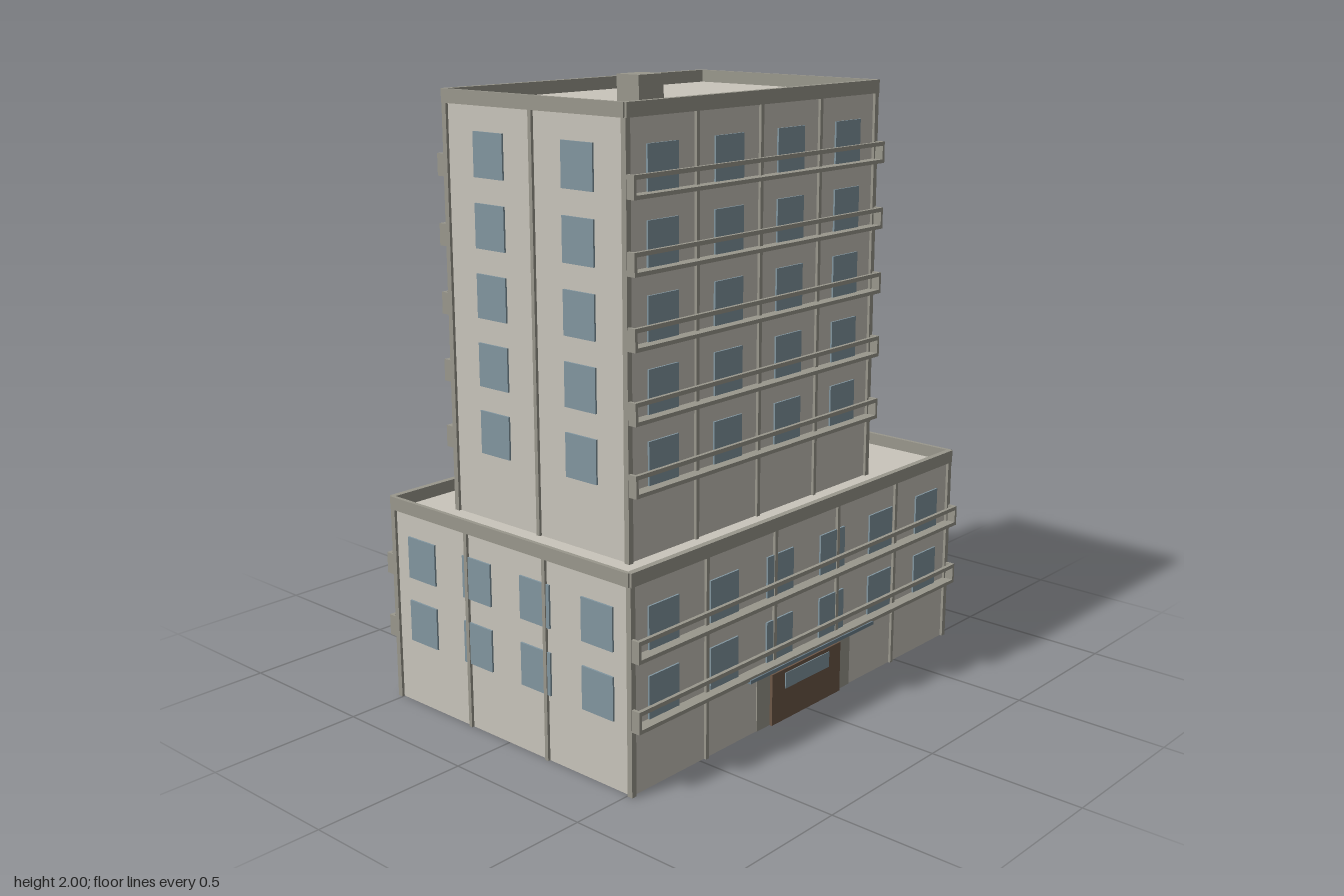
import * as THREE from 'three';

const mat = (color) => new THREE.MeshStandardMaterial({ color });
const WALL = mat(0xc9c5bb), TRIM = mat(0x9a988d), GLASS = mat(0x8296a0);
const DOOR = mat(0x6e5848), CANOPY = mat(0x6f8390);

// Box given by its extents on each axis
function box(parent, name, material, [x0, x1], [y0, y1], [z0, z1]) {
  const mesh = new THREE.Mesh(new THREE.BoxGeometry(x1 - x0, y1 - y0, z1 - z0), material);
  mesh.position.set((x0 + x1) / 2, (y0 + y1) / 2, (z0 + z1) / 2);
  mesh.name = name;
  parent.add(mesh);
  return mesh;
}

const around = (c, w) => [c - w / 2, c + w / 2];

// One block of the building, centred on its own x and z; hx, hz are half sizes of the walls
function buildBlock(name, o) {
  const g = new THREE.Group();
  g.name = name;
  const { hx, hz, y0, roof, top } = o;
  box(g, 'walls', WALL, [-hx, hx], [y0, roof], [-hz, hz]);

  // Parapet: deeper along front and back, thin on the sides
  for (const s of [-1, 1]) {
    box(g, 'parapetLong', TRIM, [-hx - 0.008, hx + 0.008], [roof - 0.002, top], around(s * (hz + 0.002), 0.02));
    box(g, 'parapetSide', TRIM, around(s * (hx + 0.007), 0.013), [roof - 0.002, top], [-hz - 0.004, hz + 0.004]);
  }

  // Corner columns
  for (const sx of [-1, 1]) for (const sz of [-1, 1])
    box(g, 'cornerColumn', TRIM, around(sx * hx, 0.018), [y0, roof], around(sz * hz, 0.018));

  for (const s of [-1, 1]) {
    // Pilasters on front and back, then on the sides
    for (const x of o.pilastersX)
      box(g, 'pilaster', TRIM, around(x, 0.013), [y0, roof], around(s * hz, 0.018));
    for (const z of o.pilastersZ)
      box(g, 'sidePilaster', TRIM, around(s * hx, 0.018), [y0, roof], around(z, 0.013));

    for (const y of o.floors) {
      // Windows
      for (const x of o.windowsX)
        box(g, 'window', GLASS, around(x, 0.127), around(y, 0.135), around(s * hz, 0.012));
      for (const z of o.windowsZ)
        box(g, 'sideWindow', GLASS, around(s * hx, 0.012), around(y, 0.135), around(z, 0.125));

      // Balcony: floor slab, front rail and closed ends
      const b = y - 0.076, t = y - 0.008, out = hz + 0.038;
      const balcony = new THREE.Group();
      balcony.name = 'balcony';
      const w = hx + 0.008;
      const depth = (a, c) => (s > 0 ? [a, c] : [-c, -a]);
      box(balcony, 'balconySlab', TRIM, [-w, w], [b, b + 0.012], depth(hz, out));
      box(balcony, 'balconyRail', TRIM, [-w, w], [t - 0.013, t], depth(out - 0.012, out));
      for (const e of [-1, 1])
        box(balcony, 'balconyEnd', TRIM, around(e * (w - 0.005), 0.01), [b, t], depth(hz, out));
      g.add(balcony);
    }
  }
  return g;
}

export function createModel() {
  const model = new THREE.Group();
  model.name = 'apartmentBuilding';

  // Wide lower block
  model.add(buildBlock('podium', {
    hx: 0.792, hz: 0.511, y0: 0, roof: 0.637, top: 0.677,
    pilastersX: [-0.475, -0.158, 0.158, 0.475], pilastersZ: [-0.17, 0.17],
    windowsX: [-0.66, -0.395, -0.132, 0.132, 0.395, 0.66],
    windowsZ: [-0.382, -0.127, 0.127, 0.382],
    floors: [0.279, 0.49],
  }));

  // Tower set back on the podium
  const tower = buildBlock('tower', {
    hx: 0.572, hz: 0.367, y0: 0.63, roof: 1.903, top: 1.943,
    pilastersX: [-0.285, 0, 0.285], pilastersZ: [0],
    windowsX: [-0.428, -0.143, 0.143, 0.428],
    windowsZ: [-0.183, 0.183],
    floors: [0, 1, 2, 3, 4].map((i) => 0.914 + i * 0.211),
  });
  tower.position.set(-0.095, 0, 0.02);
  model.add(tower);

  // Rooftop vent
  box(model, 'roofVent', TRIM, [-0.495, -0.392], [1.9, 2], [0.19, 0.275]);

  // Entrance
  const entrance = new THREE.Group();
  entrance.name = 'entrance';
  box(entrance, 'doorSurround', TRIM, [-0.238, 0.238], [0, 0.2], [0.5, 0.5145]);
  box(entrance, 'door', DOOR, [-0.175, 0.175], [0, 0.17], [0.5, 0.524]);
  box(entrance, 'doorGlass', GLASS, [-0.112, 0.112], [0.105, 0.157], [0.51, 0.527]);
  box(entrance, 'canopy', CANOPY, [-0.315, 0.315], [0.195, 0.207], [0.5, 0.553]);
  model.add(entrance);

  return model;
}
